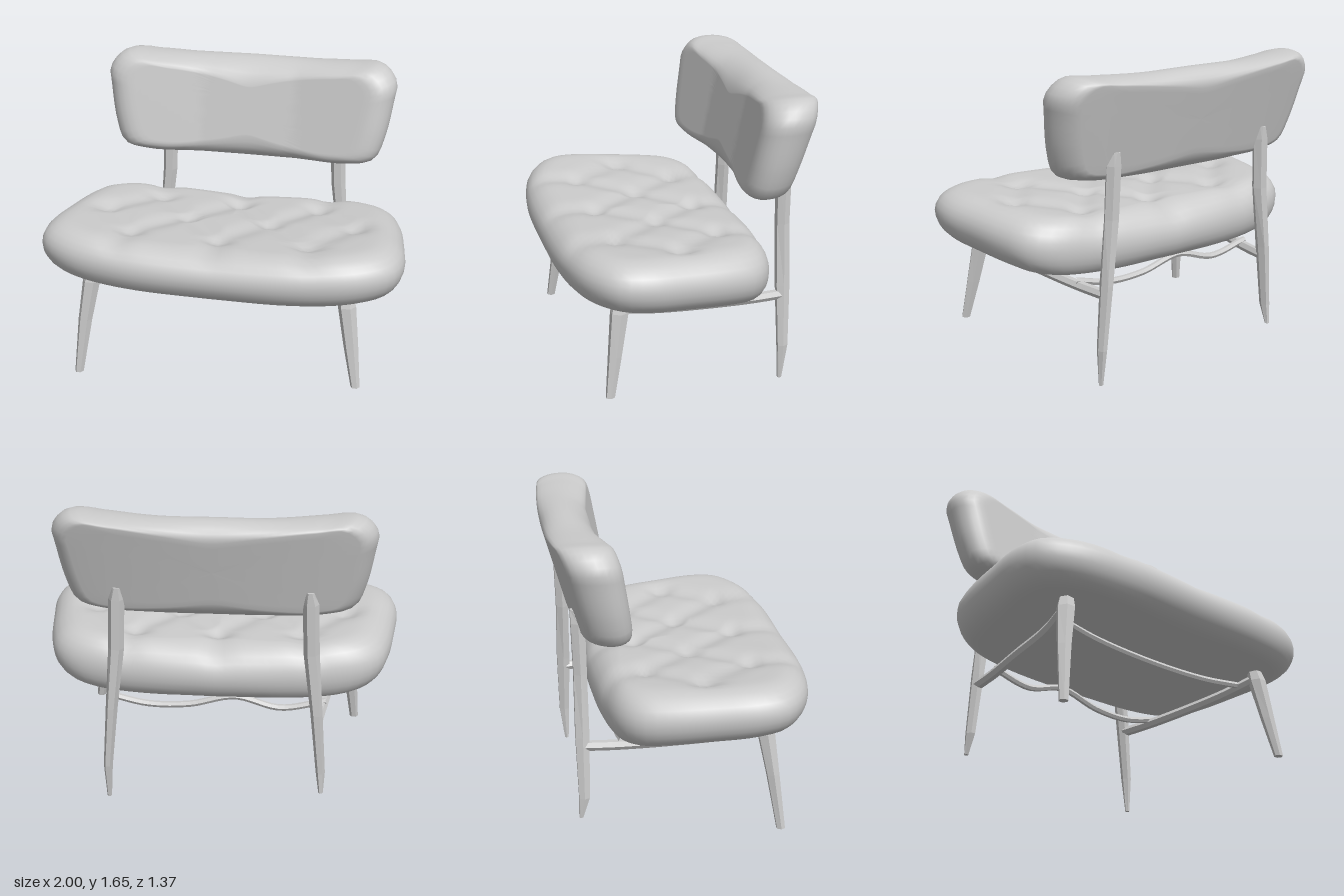
import * as THREE from 'three';

const material = new THREE.MeshStandardMaterial({ color: 0xcccccc });
const facetted = new THREE.MeshStandardMaterial({ color: 0xcccccc, flatShading: true });

function addMesh(parent, name, geometry, mat) {
  const mesh = new THREE.Mesh(geometry, mat);
  mesh.name = name;
  parent.add(mesh);
  return mesh;
}

// Skin a stack of closed rings, ordered from top to bottom
function skin(rings) {
  const n = rings[0].length, position = [], index = [];
  rings.forEach(ring => ring.forEach(p => position.push(...p)));
  for (let i = 0; i < rings.length - 1; i++) {
    for (let j = 0; j < n; j++) {
      const k = (j + 1) % n;
      const a = i * n + j, b = i * n + k, c = a + n, d = b + n;
      index.push(a, c, d, a, d, b);
    }
  }
  const geometry = new THREE.BufferGeometry();
  geometry.setAttribute('position', new THREE.Float32BufferAttribute(position, 3));
  geometry.setIndex(index);
  geometry.computeVertexNormals();
  return geometry;
}

// Cushion with a mirrored plan outline [x, z], a rounded rim (wider above than below),
// and top and bottom height rules
function cushion(half, rimTop, rimBottom, top, bottom) {
  const mirrored = half.slice(1, -1).reverse().map(([x, z]) => [-x, z]);
  const curve = new THREE.CatmullRomCurve3(
    [...half, ...mirrored].map(([x, z]) => new THREE.Vector3(x, 0, z)), true);
  const outline = curve.getSpacedPoints(96).slice(0, 96);
  const rings = [];
  const ring = (scale, inset, blend) => rings.push(outline.map(p => {
    const s = scale * (1 - inset / p.length());
    const x = p.x * s, z = p.z * s;
    const t = top(x, z), b = bottom(x, z);
    return [x, (t + b) / 2 + blend * (t - b) / 2, z];
  }));
  for (let i = 0; i < 20; i++) ring(i / 20, rimTop, 1);
  for (let i = 0; i <= 12; i++) {
    const a = i / 12 * Math.PI;
    ring(1, (i < 6 ? rimTop : rimBottom) * (1 - Math.sin(a)), Math.cos(a));
  }
  for (let i = 5; i >= 0; i--) ring(i / 6, rimBottom, -1);
  return skin(rings);
}

// Tapered six-sided leg through stations [x, y, z, width, depth], top first
function leg(stations) {
  const section = ([x, y, z, w, d]) => Array.from({ length: 6 }, (_, i) => {
    const a = (i + 0.5) / 6 * Math.PI * 2;
    return [x + Math.sin(a) * w / 2, y, z + Math.cos(a) * d / 2];
  });
  const cap = ([x, y, z]) => section([x, y, z, 0, 0]);
  return skin([cap(stations[0]), ...stations.map(section), cap(stations.at(-1))]);
}

// Slim rail along a smooth path
function rail(points, radius) {
  const curve = new THREE.CatmullRomCurve3(points.map(p => new THREE.Vector3(...p)));
  return new THREE.TubeGeometry(curve, 32, radius, 6);
}

// Tufting: buttons joined diagonally by creases, which run out to the front and rear rims
const buttons = [
  [-0.46, -0.19], [0, -0.19], [0.46, -0.19],
  [-0.7, 0.08], [-0.24, 0.08], [0.23, 0.08], [0.7, 0.08],
  [-0.49, 0.37], [0, 0.37], [0.49, 0.37],
];
const creases = [];
buttons.forEach((a, i) => buttons.slice(i + 1).forEach(b => {
  if (a[1] !== b[1] && Math.hypot(a[0] - b[0], a[1] - b[1]) < 0.43) creases.push([a, b]);
}));
for (const [x, z] of buttons) {
  if (z < 0) creases.push([[x, z], [x * 1.1, -0.4]]);
  if (z > 0.3) creases.push([[x, z], [x * 1.05, 0.56]]);
}
function tuft(x, z) {
  let depth = 0;
  for (const [bx, bz] of buttons) {
    depth = Math.max(depth, 0.045 * Math.exp(-((x - bx) ** 2 + (z - bz) ** 2) / 0.006));
  }
  for (const [[ax, az], [bx, bz]] of creases) {
    const dx = bx - ax, dz = bz - az;
    const t = THREE.MathUtils.clamp(((x - ax) * dx + (z - az) * dz) / (dx * dx + dz * dz), 0, 1);
    const d2 = (x - ax - t * dx) ** 2 + (z - az - t * dz) ** 2;
    depth = Math.max(depth, 0.02 * Math.exp(-d2 / 0.005));
  }
  return depth;
}

export function createModel() {
  const model = new THREE.Group();
  model.name = 'loungeChair';

  // Seat: broad tufted cushion, wider in front, with sides slightly raised
  addMesh(model, 'seatCushion', cushion(
    [[0, 0.685], [0.5, 0.67], [0.8, 0.6], [0.96, 0.48], [1, 0.33], [0.98, 0.1],
      [0.94, -0.15], [0.89, -0.29], [0.78, -0.38], [0.5, -0.44], [0, -0.465]],
    0.18, 0.13,
    (x, z) => 0.873 + 0.04 * z + 0.045 * x * x - tuft(x, z),
    (x, z) => 0.577 + 0.08 * z + 0.05 * x * x,
  ), material);

  // Backrest: curved pad, leaning back, its ends swept forward
  const back = addMesh(model, 'backrest', cushion(
    [[0, 0.288], [0.35, 0.285], [0.6, 0.275], [0.74, 0.235], [0.79, 0.12], [0.83, -0.1],
      [0.838, -0.19], [0.76, -0.276], [0.6, -0.276], [0.35, -0.268], [0, -0.272]],
    0.14, 0.1,
    (x, z) => -0.378 + 0.2 * z + 0.15 * Math.max(0, Math.abs(x) - 0.27),
    (x, z) => -0.635 + 0.28 * z + 0.11 * x * x,
  ), material);
  back.rotation.x = Math.PI / 2;
  back.position.y = 1.365;

  // Legs: splayed front pair, tall rear pair that carries the backrest
  const legs = new THREE.Group();
  legs.name = 'legs';
  model.add(legs);
  for (const side of [-1, 1]) {
    const name = side > 0 ? 'left' : 'right';
    const frontFoot = side > 0 ? [0.785, 0.13, 0.48] : [-0.785, 0.035, 0.49];
    addMesh(legs, name + 'FrontLeg', leg([
      [side * 0.705, 0.64, 0.4, 0.08, 0.08],
      [side * 0.715, 0.58, 0.41, 0.1, 0.1],
      [side * 0.75, 0.35, 0.445, 0.08, 0.075],
      [...frontFoot, 0.05, 0.05],
    ]), facetted);
    const rearFoot = side > 0 ? [0.58, 0, -0.535] : [-0.585, 0.085, -0.565];
    addMesh(legs, name + 'RearLeg', leg([
      [side * 0.5, 1.25, -0.575, 0.04, 0.03],
      [side * 0.505, 1.18, -0.55, 0.085, 0.085],
      [side * 0.515, 0.9, -0.545, 0.085, 0.08],
      [side * 0.55, 0.55, -0.545, 0.065, 0.085],
      [side * 0.58, 0.2, -0.545, 0.05, 0.065],
      [...rearFoot, 0.025, 0.025],
    ]), facetted);
  }

  // Underframe: side rails and two bowed cross rails
  const frame = new THREE.Group();
  frame.name = 'underframe';
  model.add(frame);
  for (const side of [-1, 1]) {
    addMesh(frame, side > 0 ? 'leftSideRail' : 'rightSideRail', rail([
      [side * 0.7, 0.59, 0.38], [side * 0.66, 0.55, 0.2], [side * 0.62, 0.52, -0.1],
      [side * 0.58, 0.5, -0.35], [side * 0.555, 0.495, -0.53],
    ], 0.028), facetted);
  }
  addMesh(frame, 'frontCrossRail', rail([
    [-0.68, 0.58, 0.3], [-0.4, 0.55, 0.28], [0, 0.54, 0.27], [0.4, 0.55, 0.28], [0.68, 0.58, 0.3],
  ], 0.018), facetted);
  addMesh(frame, 'rearCrossRail', rail([
    [-0.6, 0.53, -0.34], [-0.35, 0.48, -0.34], [-0.1, 0.54, -0.34],
    [0.15, 0.485, -0.34], [0.38, 0.48, -0.34], [0.6, 0.53, -0.34],
  ], 0.018), facetted);

  return model;
}
